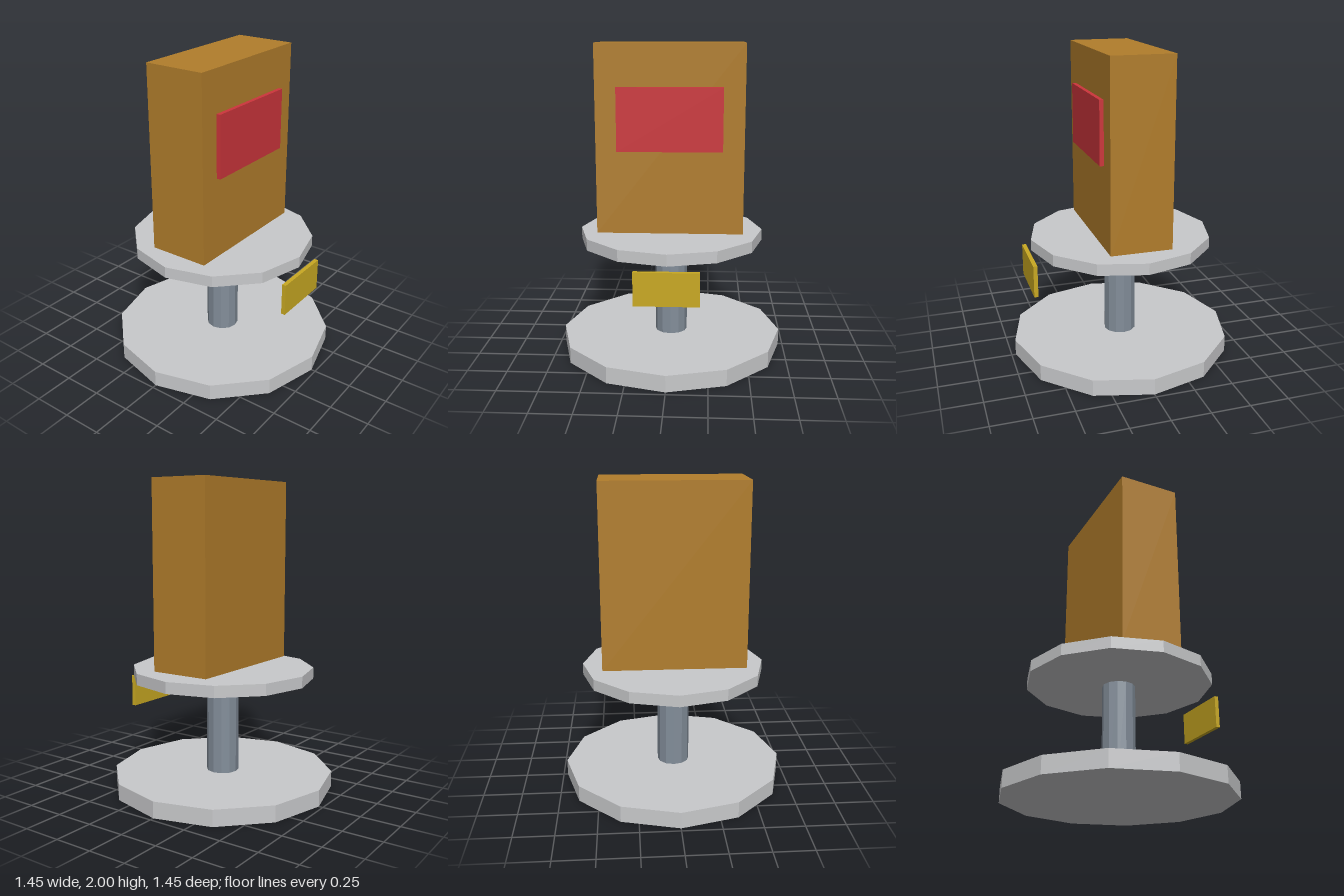
import * as THREE from 'three';

const material = (name, color, flatShading = false) => {
  const m = new THREE.MeshStandardMaterial({ color, flatShading });
  m.name = name;
  return m;
};

export function createModel() {
  const paleGrey = material('pale grey', 0xc8c9cb, true);
  const steel = material('steel', 0x838e9a, true);
  const brown = material('brown', 0xb17d2b);
  const red = material('red', 0xcc353b);
  const yellow = material('yellow', 0xc9a922);

  const model = new THREE.Group();
  model.name = 'signStand';

  const add = (name, geometry, mat, y, z = 0) => {
    const mesh = new THREE.Mesh(geometry, mat);
    mesh.name = name;
    mesh.position.set(0, y, z);
    model.add(mesh);
  };

  // Twelve-sided round part between two heights
  const disc = (name, radius, y0, y1, mat) =>
    add(name, new THREE.CylinderGeometry(radius, radius, y1 - y0, 12), mat, (y0 + y1) / 2);

  // Box centred on x, between two heights and two depths
  const block = (name, width, y0, y1, z0, z1, mat) =>
    add(name, new THREE.BoxGeometry(width, y1 - y0, z1 - z0), mat, (y0 + y1) / 2, (z0 + z1) / 2);

  // Stand
  disc('base', 0.723, 0, 0.105, paleGrey);
  disc('post', 0.105, 0.105, 0.73, steel);
  disc('platform', 0.592, 0.73, 0.803, paleGrey);

  // Cabinet with its front panel, just above the platform
  block('cabinet', 0.92, 0.82, 2, -0.197, 0.197, brown);
  block('frontPanel', 0.655, 1.343, 1.737, 0.197, 0.223, red);

  // Small plate in front of the post
  block('namePlate', 0.395, 0.492, 0.7, 0.592, 0.618, yellow);

  return model;
}
